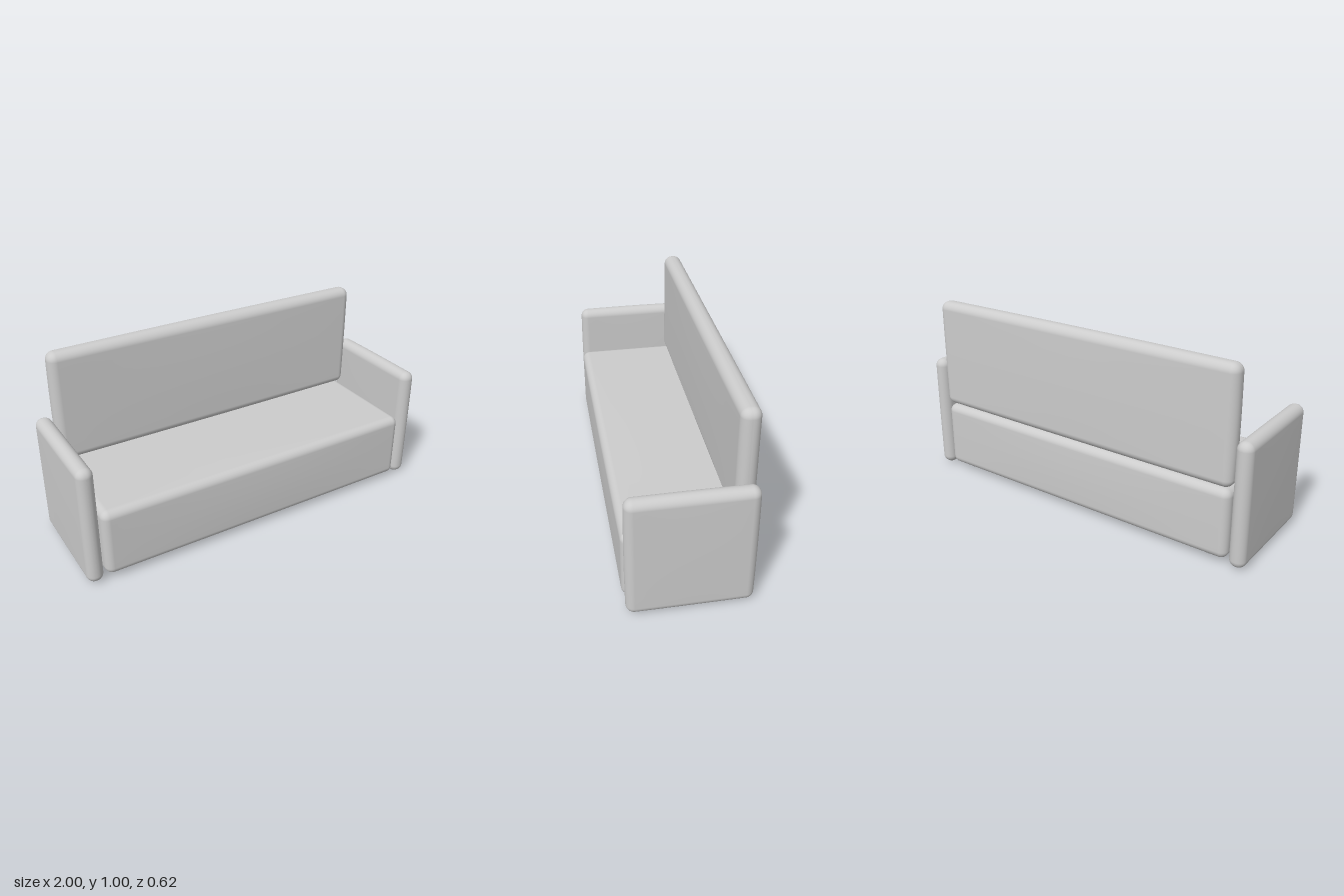
import * as THREE from 'three';
import { mergeVertices } from 'three/addons/utils/BufferGeometryUtils.js';

const material = new THREE.MeshStandardMaterial({ color: 0xcccccc });

// Rounded box with softly bowed faces; size includes the bow.
function cushionGeometry(size, radius, bow) {
  const geometry = new THREE.BoxGeometry(2, 2, 2, 20, 20, 20);
  geometry.deleteAttribute('uv');
  geometry.deleteAttribute('normal');
  const merged = mergeVertices(geometry);
  const pos = merged.attributes.position;
  const half = size.map((s) => s / 2 - bow);
  for (let i = 0; i < pos.count; i++) {
    const t = [pos.getX(i), pos.getY(i), pos.getZ(i)];
    // Inner half of the grid spans the flat face, outer half the rounded edge
    const n = new THREE.Vector3(...t.map((v) =>
      Math.sign(v) * Math.tan(Math.max(0, 2 * Math.abs(v) - 1) * Math.PI / 4))).normalize().toArray();
    const p = t.map((v, k) =>
      Math.sign(v) * Math.min(1, 2 * Math.abs(v)) * (half[k] - radius) + n[k] * radius);
    const c = p.map((v, k) => Math.cos(Math.PI / 2 * Math.min(1, Math.abs(v / half[k]))));
    pos.setXYZ(i, ...p.map((v, k) => v + n[k] * bow * c[(k + 1) % 3] * c[(k + 2) % 3]));
  }
  merged.computeVertexNormals();
  return merged;
}

function addMesh(group, name, geometry, x, y, z) {
  const mesh = new THREE.Mesh(geometry, material);
  mesh.name = name;
  mesh.position.set(x, y, z);
  group.add(mesh);
}

export function createModel() {
  const sofa = new THREE.Group();
  sofa.name = 'sofa';

  // Seat block and upright back panel
  addMesh(sofa, 'seat', cushionGeometry([1.816, 0.378, 0.624], 0.04, 0.005), 0, 0.211, 0);
  addMesh(sofa, 'backrest', cushionGeometry([1.82, 0.606, 0.104], 0.042, 0.004), 0, 0.702, -0.261);

  // Slab arms and round feet, mirrored
  const arm = cushionGeometry([0.091, 0.652, 0.612], 0.04, 0.003);
  const foot = new THREE.LatheGeometry([
    [0, 0], [0.058, 0], [0.064, 0.003], [0.067, 0.009], [0.067, 0.035], [0, 0.035],
  ].map(([r, y]) => new THREE.Vector2(r, y)), 32);
  for (const [side, x] of [['left', 1], ['right', -1]]) {
    addMesh(sofa, side + 'Arm', arm, x * 0.9545, 0.329, -0.004);
    addMesh(sofa, side + 'FrontFoot', foot, x * 0.785, 0, 0.185);
    addMesh(sofa, side + 'BackFoot', foot, x * 0.785, 0, -0.185);
  }
  return sofa;
}
